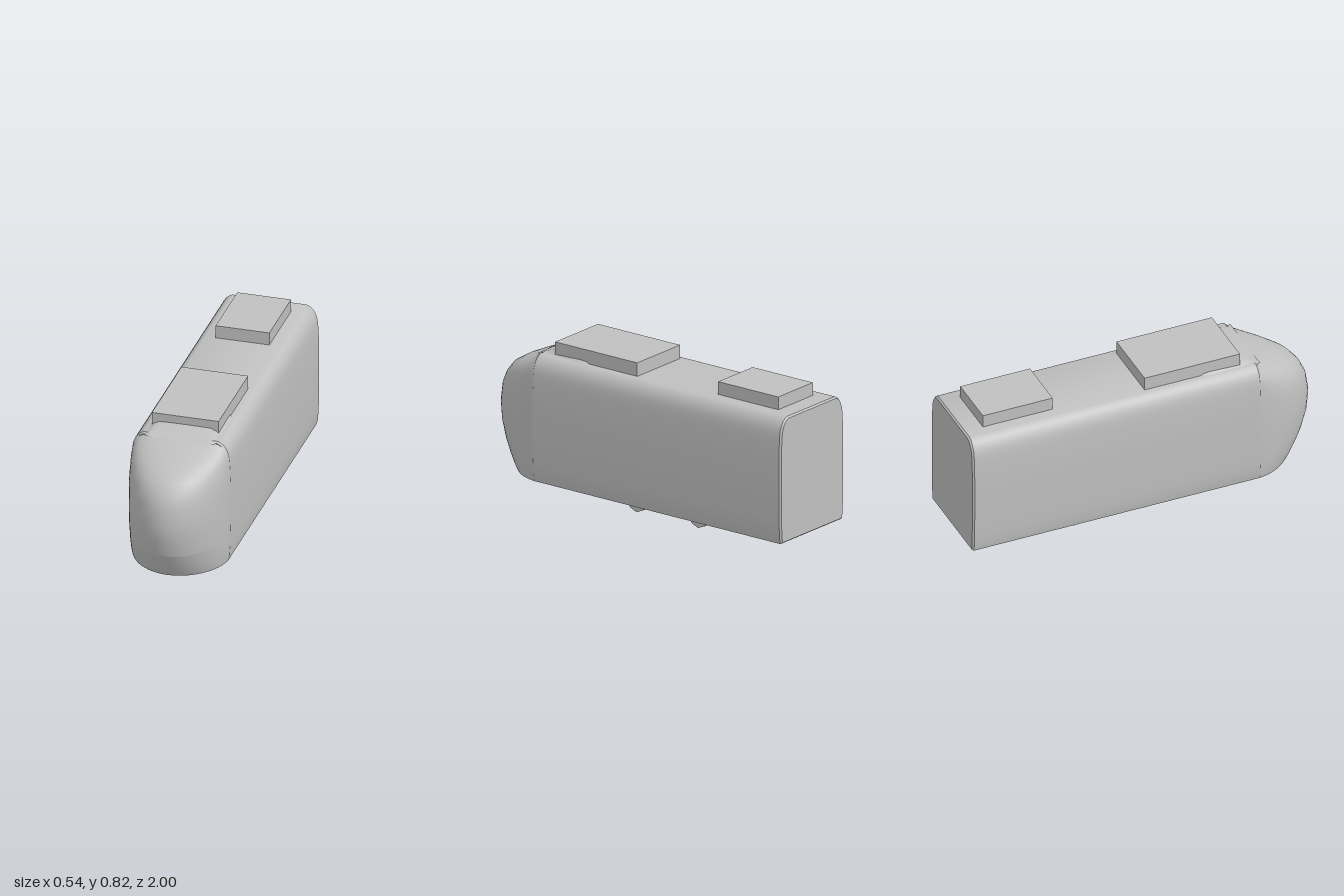
import * as THREE from 'three';
import { toCreasedNormals } from 'three/addons/utils/BufferGeometryUtils.js';

const grey = new THREE.MeshStandardMaterial({ color: 0xc0c0c0 });
grey.name = 'plain grey';

// Surface through rows of points; points run left to right, rows bottom to top
function loft(rows) {
  const n = rows[0].length;
  const index = [];
  for (let i = 0; i < rows.length - 1; i++) {
    for (let j = 0; j < n - 1; j++) {
      const a = i * n + j, b = a + 1, c = a + n, d = c + 1;
      index.push(a, b, d, a, d, c);
    }
  }
  const geo = new THREE.BufferGeometry();
  geo.setAttribute('position', new THREE.Float32BufferAttribute(rows.flat(2), 3));
  geo.setIndex(index);
  geo.computeVertexNormals();
  return geo;
}

export function createModel() {
  const model = new THREE.Group();
  const add = (name, geo, x = 0, y = 0, z = 0) => {
    const mesh = new THREE.Mesh(geo, grey);
    mesh.name = name;
    mesh.position.set(x, y, z);
    model.add(mesh);
    return mesh;
  };

  // Height, half width and nose tip z, from floor to roof
  const levels = [
    [0.06, 0.255, 0.875], [0.09, 0.261, 0.897], [0.15, 0.265, 0.933], [0.21, 0.266, 0.962],
    [0.3, 0.268, 0.99], [0.4, 0.268, 1.0], [0.5, 0.268, 0.985], [0.56, 0.266, 0.957],
    [0.61, 0.264, 0.915], [0.65, 0.261, 0.85], [0.68, 0.256, 0.785], [0.705, 0.246, 0.725],
    [0.725, 0.232, 0.685], [0.738, 0.216, 0.657], [0.745, 0.2, 0.64],
  ];

  // Long body: the section mirrored and extruded, with a slight end bevel
  const right = levels.map(([y, w]) => new THREE.Vector2(w, y));
  const left = levels.map(([y, w]) => new THREE.Vector2(-w, y)).reverse();
  const body = new THREE.ExtrudeGeometry(new THREE.Shape([...right, ...left]), {
    depth: 1.62, bevelEnabled: true, bevelThickness: 0.01, bevelSize: 0.008,
    bevelOffset: -0.008, bevelSegments: 1,
  });
  add('body', toCreasedNormals(body, 0.6), 0, 0, -0.99);

  // Rounded nose, with a crease between the skirt and the upper part
  const z0 = 0.62, steps = 28;
  const rows = levels.map(([y, w, tip]) => {
    const row = [];
    for (let j = 0; j <= steps; j++) {
      const u = (j / steps - 0.5) * Math.PI;
      row.push([w * Math.sin(u), y, z0 + (tip - z0) * Math.max(0, Math.cos(u)) ** 1.15]);
    }
    return row;
  });
  add('noseSkirt', loft(rows.slice(0, 4)));
  add('noseFront', loft(rows.slice(3)));

  // Flat covers under the nose and on its top
  const cover = (row, y) => loft([row, row.map(([x]) => [x, y, z0])]);
  const floor = cover(rows[0], 0.06);
  floor.index.array.reverse();
  floor.computeVertexNormals();
  add('noseFloor', floor);
  add('noseTop', cover(rows.at(-1), 0.745));

  // Low roof fairing behind the nose: z, base half width, top half width, top height
  const fairing = [
    [0.66, 0.19, 0.16, 0.737], [0.6, 0.192, 0.15, 0.76], [0.55, 0.195, 0.14, 0.775],
    [0.45, 0.2, 0.14, 0.778], [0.38, 0.205, 0.15, 0.772], [0.34, 0.2, 0.16, 0.764],
    [0.32, 0.18, 0.16, 0.74],
  ].map(([z, b, t, y]) => {
    const base = Math.min(y, 0.738);
    const mid = base + (y - base) * 0.6;
    const half = [[t * 0.5, y, z], [t, y - 0.002, z], [(b + t) / 2, mid, z], [b, base, z]];
    return [...half.map(([x, h, d]) => [-x, h, d]).reverse(), ...half];
  });
  add('roofFairing', loft(fairing));

  // Roof equipment boxes
  add('frontRoofUnit', new THREE.BoxGeometry(0.36, 0.08, 0.54), 0, 0.779, 0.28);
  add('rearRoofUnit', new THREE.BoxGeometry(0.29, 0.08, 0.395), 0, 0.775, -0.6925);

  // Wheels, half sunk into the floor
  const wheel = new THREE.CylinderGeometry(0.06, 0.06, 0.02, 8).rotateZ(Math.PI / 2);
  const wheelGeo = toCreasedNormals(wheel, 0.9);
  for (const z of [0.015, -0.39]) {
    for (const x of [-0.17, 0.17]) add('wheel', wheelGeo, x, 0.06, z);
  }
  return model;
}
